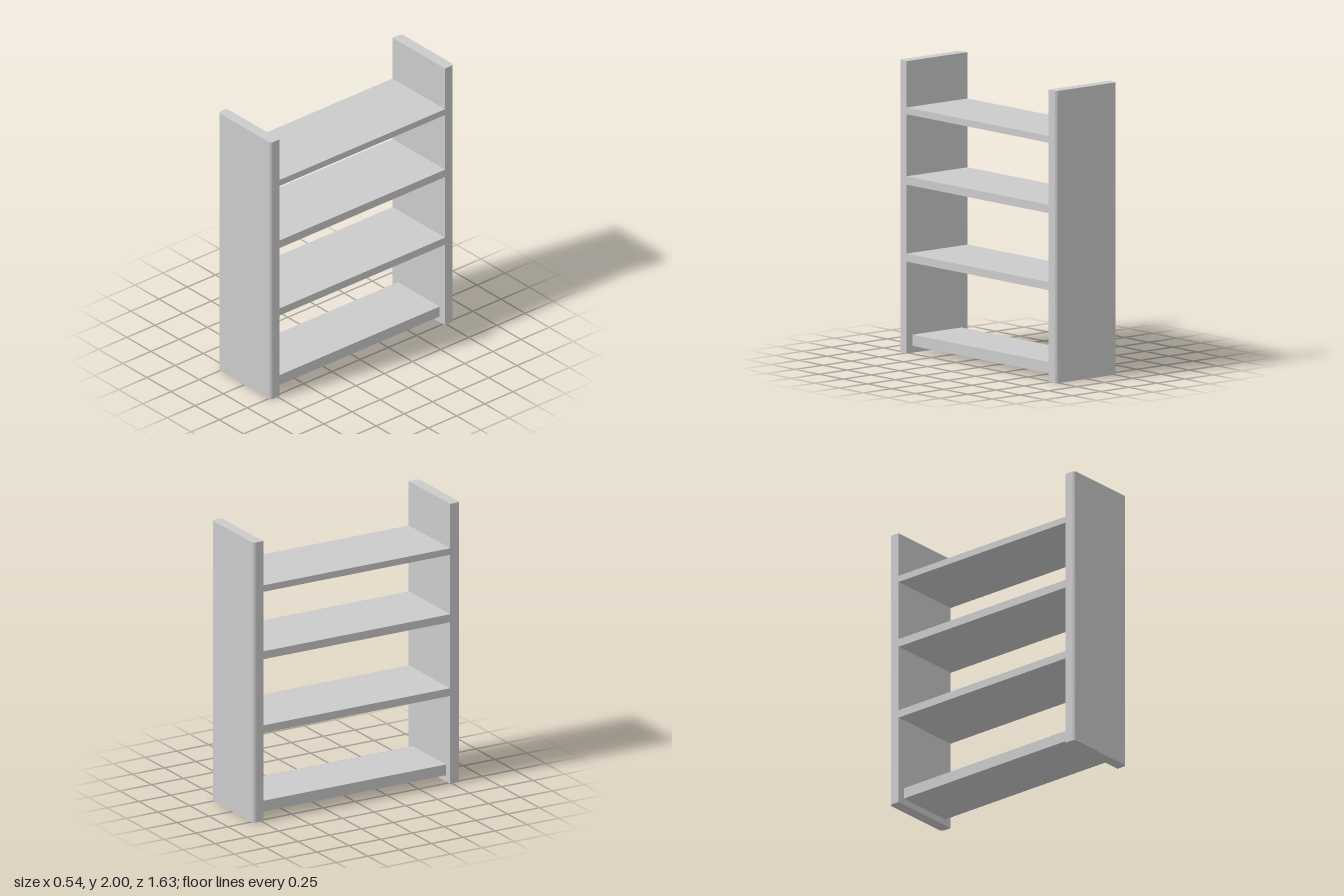
import * as THREE from 'three';
import { toCreasedNormals } from 'three/addons/utils/BufferGeometryUtils.js';

const HALF_WIDTH = 0.272; // x
const INNER = 0.735, OUTER = 0.814; // side panel faces along z
const RADIUS = 0.025;
const HEIGHT = 2;

// Upright panel: square inner corners, rounded outer corners
function panelGeometry() {
  const w = HALF_WIDTH, r = RADIUS;
  const s = new THREE.Shape();
  s.moveTo(-w, INNER);
  s.lineTo(w, INNER);
  s.lineTo(w, OUTER - r);
  s.absarc(w - r, OUTER - r, r, 0, Math.PI / 2);
  s.lineTo(-w + r, OUTER);
  s.absarc(-w + r, OUTER - r, r, Math.PI / 2, Math.PI);
  s.closePath();
  const g = new THREE.ExtrudeGeometry(s, { depth: HEIGHT, bevelEnabled: false, curveSegments: 6 });
  g.rotateX(-Math.PI / 2);
  return toCreasedNormals(g, Math.PI / 6);
}

export function createModel() {
  const group = new THREE.Group();
  group.name = 'shelfUnit';
  const material = new THREE.MeshStandardMaterial({ color: 0xcccccc });

  // Two end panels, mirrored by a half turn
  const panel = panelGeometry();
  [['backPanel', 0], ['frontPanel', Math.PI]].forEach(([name, turn]) => {
    const mesh = new THREE.Mesh(panel, material);
    mesh.name = name;
    mesh.rotation.y = turn;
    group.add(mesh);
  });

  // Shelves: name, bottom, top, half width (the lowest is set in)
  const shelves = [
    ['bottomShelf', 0.045, 0.122, 0.217],
    ['lowerShelf', 0.628, 0.683, HALF_WIDTH],
    ['middleShelf', 1.155, 1.212, HALF_WIDTH],
    ['topShelf', 1.637, 1.683, HALF_WIDTH],
  ];
  for (const [name, bottom, top, half] of shelves) {
    const mesh = new THREE.Mesh(new THREE.BoxGeometry(half * 2, top - bottom, INNER * 2), material);
    mesh.name = name;
    mesh.position.y = (bottom + top) / 2;
    group.add(mesh);
  }
  return group;
}
